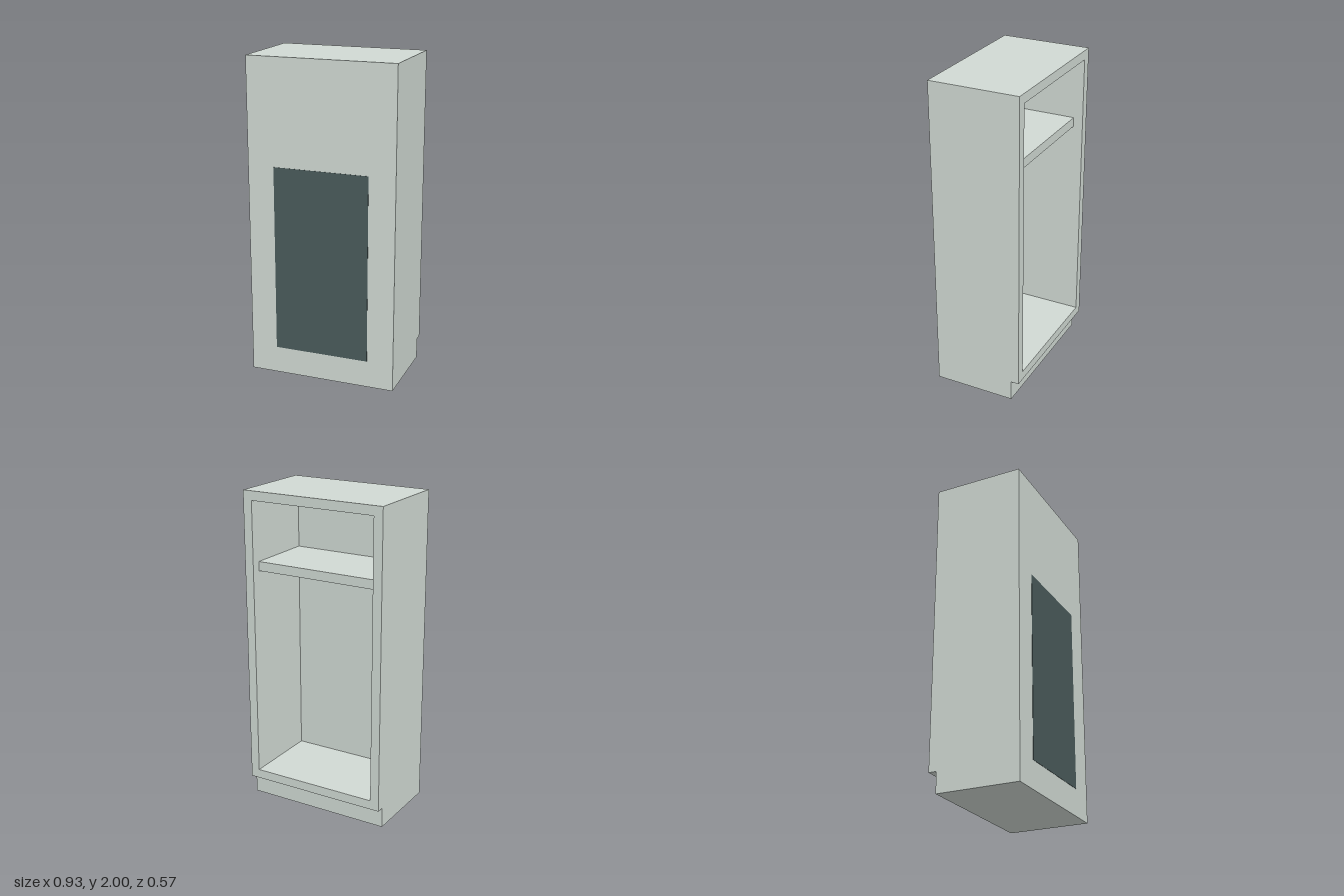
import * as THREE from 'three';

const W = 0.934, H = 2, BACK = -0.285, FRONT = 0.283;
const T = 0.058;          // board thickness
const PLINTH = 0.13;      // plinth height
const RECESS = 0.05;      // plinth set-back under the open side
const FACE = 0.062;       // front board thickness

export function createModel() {
  const group = new THREE.Group();
  const body = new THREE.MeshStandardMaterial({ color: 0xd0d9d3 });
  const dark = new THREE.MeshStandardMaterial({ color: 0x4a5b5b });

  // Box given by its minimum and maximum corners
  function board(name, [x0, y0, z0], [x1, y1, z1], material = body) {
    const mesh = new THREE.Mesh(new THREE.BoxGeometry(x1 - x0, y1 - y0, z1 - z0), material);
    mesh.position.set((x0 + x1) / 2, (y0 + y1) / 2, (z0 + z1) / 2);
    mesh.name = name;
    group.add(mesh);
  }

  // Carcass: a rectangular frame, open at the back
  const w = W / 2, inner = w - T, faceZ = FRONT - FACE;
  const frame = new THREE.Shape([
    new THREE.Vector2(-w, PLINTH), new THREE.Vector2(w, PLINTH),
    new THREE.Vector2(w, H), new THREE.Vector2(-w, H),
  ]);
  frame.holes.push(new THREE.Path([
    new THREE.Vector2(-inner, PLINTH + T), new THREE.Vector2(-inner, H - T),
    new THREE.Vector2(inner, H - T), new THREE.Vector2(inner, PLINTH + T),
  ]));
  const carcass = new THREE.Mesh(
    new THREE.ExtrudeGeometry(frame, { depth: FRONT - BACK, bevelEnabled: false }), body);
  carcass.position.z = BACK;
  carcass.name = 'carcass';
  group.add(carcass);

  // Closed front, inner shelf and recessed plinth
  board('frontBoard', [-inner, PLINTH + T, faceZ], [inner, H - T, FRONT]);
  board('shelf', [-inner, 1.502, BACK + 0.06], [inner, 1.56, faceZ]);
  board('plinth', [-w, 0, BACK + RECESS], [w, PLINTH, FRONT]);

  // Dark panel, barely proud of the front
  board('frontPanel', [-0.3, 0.17, FRONT - 0.005], [0.3, 1.34, FRONT + 0.002], dark);

  return group;
}
